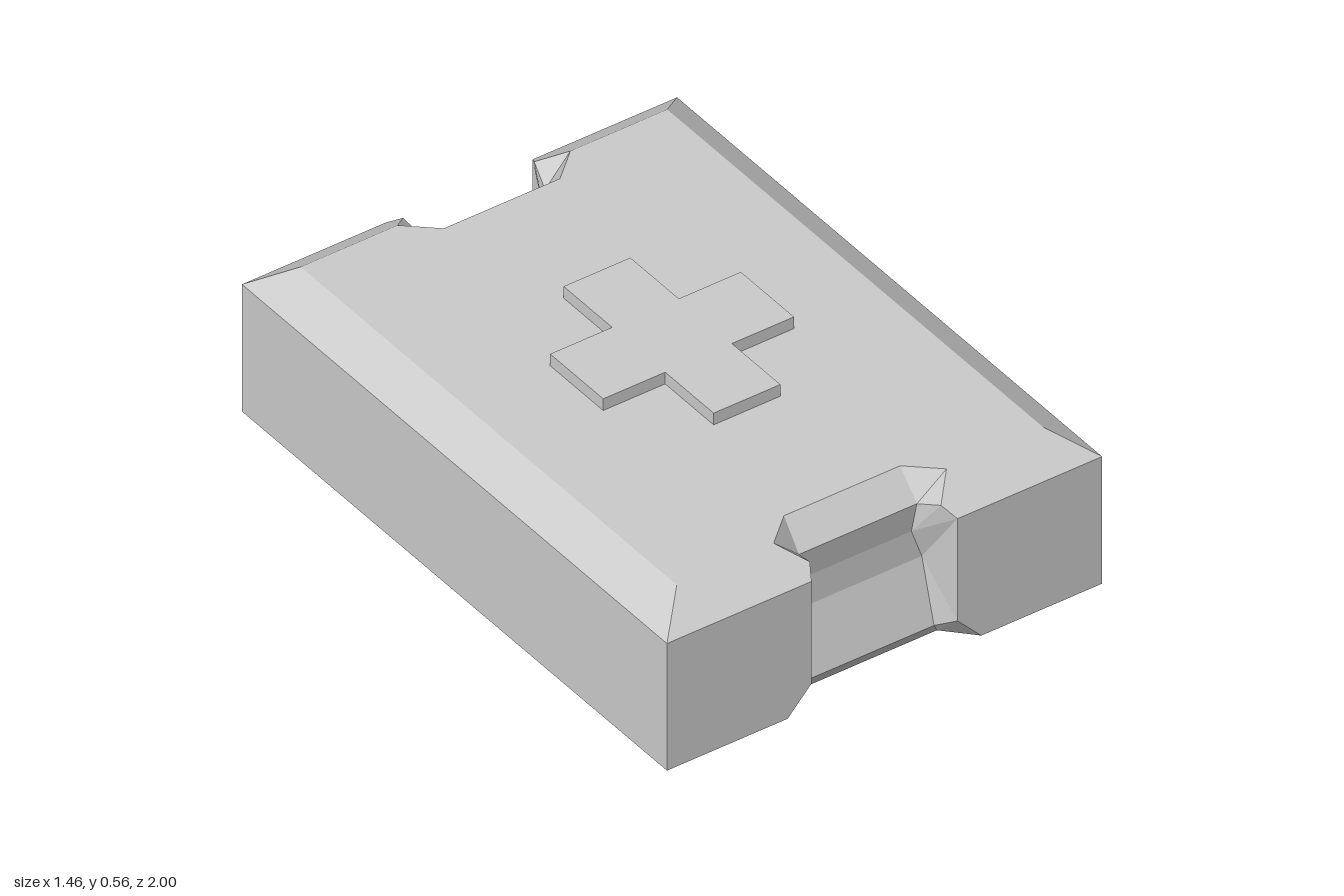
import * as THREE from 'three';

const W = 0.73, L = 1, EDGE = 0.435, TOP = 0.515; // half width, half length, shoulder and top heights
const TX = 0.615, TZ = 0.885;                     // half size of the flat top

// Grip recess: inner profile from top to bottom, and the rim it opens onto
const inner = [
  [0.195, TOP, 0.8], [0.198, 0.43, 0.875], [0.19, 0.33, 0.86],
  [0.225, 0.23, 0.86], [0.223, 0.03, 0.92], [0.24, 0, 0.91],
];
const rim = [
  [0.29, TOP, TZ], [0.22, 0.465, 0.957], [0.245, EDGE, L], [0.245, 0.085, L], [0.325, 0, L],
];

// Fan-triangulates quarter-model polygons and mirrors them across x and z
function mirroredMesh(name, polygons, material) {
  const pos = [];
  for (const sx of [1, -1]) for (const sz of [1, -1]) {
    for (const poly of polygons) {
      for (let i = 1; i < poly.length - 1; i++) {
        const tri = [poly[0], poly[i], poly[i + 1]];
        if (sx * sz < 0) tri.reverse();
        for (const [x, y, z] of tri) pos.push(x * sx, y, z * sz);
      }
    }
  }
  const geometry = new THREE.BufferGeometry();
  geometry.setAttribute('position', new THREE.Float32BufferAttribute(pos, 3));
  geometry.computeVertexNormals();
  const mesh = new THREE.Mesh(geometry, material);
  mesh.name = name;
  return mesh;
}

export function createModel() {
  const group = new THREE.Group();
  group.name = 'medicalCase';
  const material = new THREE.MeshStandardMaterial({ color: 0xcccccc, flatShading: true });

  const [i0, i1, i2, i3, i4, i5] = inner;
  const [r0, r1, r2, r3, r4] = rim;

  // Case shell with bevelled top edges
  const shell = [
    [[0, TOP, 0], [0, TOP, i0[2]], i0, r0, [TX, TOP, TZ], [TX, TOP, 0]],      // top
    [[0, 0, 0], [W, 0, 0], [W, 0, L], r4, i5, [0, 0, i5[2]]],                 // bottom
    [r3, r4, [W, 0, L], [W, EDGE, L], r2],                                    // end
    [[W, 0, L], [W, 0, 0], [W, EDGE, 0], [W, EDGE, L]],                       // side
    [r2, [W, EDGE, L], [TX, TOP, TZ], r0, r1],                                // end bevel
    [[W, EDGE, L], [W, EDGE, 0], [TX, TOP, 0], [TX, TOP, TZ]],                // side bevel
  ];
  group.add(mirroredMesh('caseShell', shell, material));

  // Grip recesses: flared side walls, then the faceted back panel
  const recess = [[i1, r1, r0, i0], [i2, r2, r1, i1], [i3, r3, r2, i2], [i4, r3, i3], [i5, r4, r3, i4]];
  for (let k = 0; k < inner.length - 1; k++) {
    const a = inner[k], b = inner[k + 1];
    recess.push([[0, b[1], b[2]], b, a, [0, a[1], a[2]]]);
  }
  group.add(mirroredMesh('gripRecesses', recess, material));

  // Raised cross on the lid
  const cx = 0.32, cz = 0.353, ax = 0.112, az = 0.125;
  const outline = [
    [cx, -az], [cx, az], [ax, az], [ax, cz], [-ax, cz], [-ax, az],
    [-cx, az], [-cx, -az], [-ax, -az], [-ax, -cz], [ax, -cz], [ax, -az],
  ].map(([x, y]) => new THREE.Vector2(x, y));
  const crossGeometry = new THREE.ExtrudeGeometry(new THREE.Shape(outline), { depth: 0.05, bevelEnabled: false });
  crossGeometry.rotateX(-Math.PI / 2);
  const cross = new THREE.Mesh(crossGeometry, material);
  cross.name = 'raisedCross';
  cross.position.y = TOP - 0.01;
  group.add(cross);

  return group;
}
